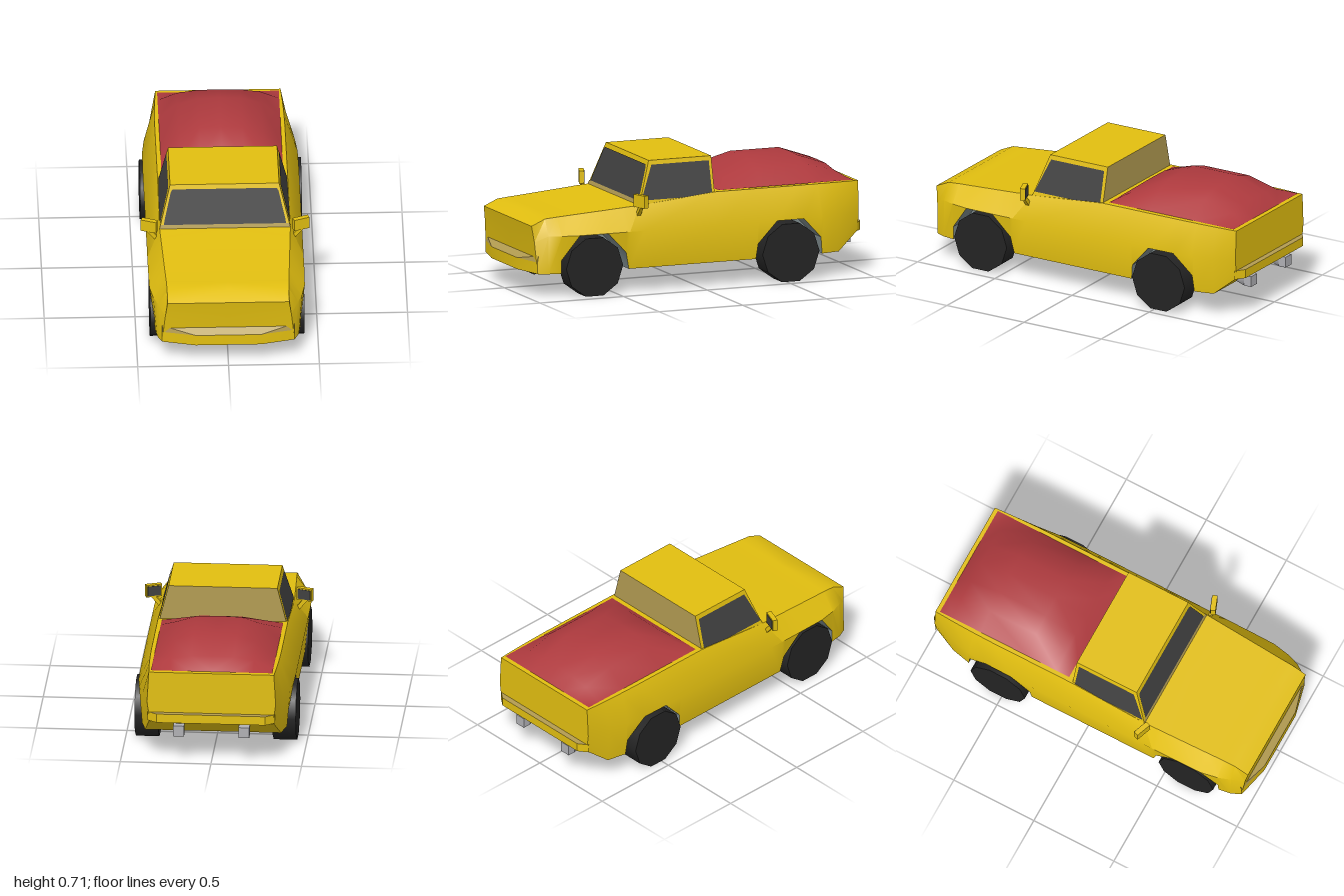
import * as THREE from 'three';
import { toCreasedNormals } from 'three/addons/utils/BufferGeometryUtils.js';

const material = (name, color) => {
  const m = new THREE.MeshStandardMaterial({ color });
  m.name = name;
  return m;
};

export function createModel() {
  const truck = new THREE.Group();
  truck.name = 'pickupTruck';
  const yellow = material('yellowPaint', 0xe2bf10);
  const tan = material('tanTrim', 0xb39c52);
  const glass = material('darkGlass', 0x414141);
  const rubber = material('tyreRubber', 0x242424);
  const red = material('redCargo', 0xae3a3e);
  const wellGrey = material('wheelWellGrey', 0x7d8a8c);
  const metal = material('exhaustMetal', 0xb0b0b4);

  const add = (name, geometry, mat, x = 0, y = 0, z = 0) => {
    const mesh = new THREE.Mesh(geometry, mat);
    mesh.name = name;
    mesh.position.set(x, y, z);
    truck.add(mesh);
    return mesh;
  };

  // Quad and its mirror image across x = 0
  const flip = (p) => [-p[0], p[1], p[2]];
  const mid = (p) => [0, p[1], p[2]];
  const quad = (list, a, b, c, d) => {
    list.push(a, b, c, a, c, d);
    const [e, f, g, h] = [a, b, c, d].map(flip);
    list.push(e, g, f, e, h, g);
  };
  const addQuads = (name, list, mat, crease = 0.6) => {
    const g = new THREE.BufferGeometry();
    g.setAttribute('position', new THREE.Float32BufferAttribute(list.flat(), 3));
    g.computeVertexNormals();
    return add(name, toCreasedNormals(g, crease), mat);
  };

  // Body stations: z, bottom y, arch y, half widths (bottom, middle, top), top y
  const FLOOR = 0.135, WAIST = 0.345, WELL = 0.28;
  const stations = [
    [0.9, FLOOR, FLOOR, 0.39, 0.385, 0.335, 0.435],
    [0.83, FLOOR, FLOOR, 0.4, 0.41, 0.337, 0.441],
    [0.829, FLOOR, 0.21, 0.4, 0.41, 0.337, 0.441],
    [0.73, FLOOR, 0.343, 0.41, 0.428, 0.342, 0.448],
    [0.56, FLOOR, 0.343, 0.41, 0.43, 0.35, 0.46],
    [0.45, FLOOR, 0.23, 0.41, 0.43, 0.355, 0.468],
    [0.43, FLOOR, FLOOR, 0.41, 0.43, 0.356, 0.47],
    [0.345, FLOOR, FLOOR, 0.41, 0.43, 0.36, 0.475],
    [-0.11, FLOOR, FLOOR, 0.41, 0.43, 0.358, 0.518],
    [-0.33, FLOOR, FLOOR, 0.41, 0.43, 0.358, 0.518],
    [-0.34, FLOOR, 0.22, 0.41, 0.43, 0.358, 0.518],
    [-0.45, FLOOR, 0.343, 0.41, 0.43, 0.358, 0.518],
    [-0.61, FLOOR, 0.343, 0.41, 0.428, 0.358, 0.518],
    [-0.72, FLOOR, 0.23, 0.4, 0.417, 0.356, 0.518],
    [-0.73, FLOOR, FLOOR, 0.4, 0.416, 0.356, 0.518],
    [-0.84, FLOOR, FLOOR, 0.375, 0.39, 0.352, 0.518],
    [-0.968, 0.24, 0.24, 0.34, 0.355, 0.345, 0.518],
  ].map(([z, yb, arch, wb, wm, wt, yt]) => {
    const edge = wb + (wm - wb) * (arch - yb) / (WAIST - yb);
    return { z, yb, arch, ring: [[edge, arch, z], [wm, WAIST, z], [wt, yt, z]] };
  });
  stations.unshift({
    z: 0.955, yb: FLOOR, arch: FLOOR,
    ring: [[0.365, FLOOR, 0.955], [0.347, 0.31, 0.968], [0.335, 0.4, 0.98]],
  });

  const body = [], wells = [];
  for (let i = 0; i < stations.length - 1; i++) {
    const s = stations[i], t = stations[i + 1];
    for (let k = 0; k < 2; k++) quad(body, s.ring[k], t.ring[k], t.ring[k + 1], s.ring[k + 1]);
    quad(body, s.ring[2], t.ring[2], mid(t.ring[2]), mid(s.ring[2]));
    const inArch = s.arch > s.yb || t.arch > t.yb;
    const s0 = inArch ? [WELL, s.yb, s.z] : s.ring[0];
    const t0 = inArch ? [WELL, t.yb, t.z] : t.ring[0];
    quad(body, mid(s0), mid(t0), t0, s0);
    if (inArch) {
      const s1 = [WELL, s.arch, s.z], t1 = [WELL, t.arch, t.z];
      quad(wells, s0, t0, t1, s1);
      quad(wells, s1, t1, t.ring[0], s.ring[0]);
    }
  }
  const front = stations[0].ring, rear = stations[stations.length - 1].ring;
  for (let k = 0; k < 2; k++) {
    quad(body, mid(front[k]), front[k], front[k + 1], mid(front[k + 1]));
    quad(body, rear[k], mid(rear[k]), mid(rear[k + 1]), rear[k + 1]);
  }
  addQuads('body', body, yellow);
  addQuads('wheelWells', wells, wellGrey);

  // Bumpers: yellow face and underside, tan top
  const bumper = (name, plan, y0, y1, backY, backZ) => {
    const face = [], top = [];
    const put = (list, ...q) => quad(list, ...(backZ > 0 ? q : q.reverse()));
    for (let i = 0; i < plan.length - 1; i++) {
      const [[x0, z0], [x1, z1]] = [plan[i], plan[i + 1]];
      put(face, [x0, y0, z0], [x1, y0, z1], [x1, y1, z1], [x0, y1, z0]);
      put(face, [x0, y0, backZ], [x1, y0, backZ], [x1, y0, z1], [x0, y0, z0]);
      put(top, [x0, y1, z0], [x1, y1, z1], [x1, backY, backZ], [x0, backY, backZ]);
    }
    addQuads(name, face, yellow, 0.3);
    addQuads(name + 'Top', top, tan, 0.3);
  };
  bumper('frontBumper', [[0, 1], [0.18, 1], [0.365, 0.957]], 0.136, 0.2, 0.236, 0.95);
  bumper('rearBumper', [[0, -1], [0.3, -1], [0.352, -0.962]], 0.235, 0.285, 0.285, -0.96);

  // Cab: base and roof outlines
  const BASE = 0.475, ROOF = 0.711;
  const sideX = (y) => 0.36 - 0.06 * (y - BASE) / (ROOF - BASE);
  const screenZ = (y) => 0.345 - 0.08 * (y - BASE) / (ROOF - BASE);
  const BACK = -0.108;
  const bf = [0.36, BASE, 0.345], bb = [0.36, BASE, BACK];
  const rf = [0.3, ROOF, 0.265], rb = [0.3, ROOF, BACK];
  const cab = [], cabBack = [];
  quad(cab, bf, bb, rb, rf);
  quad(cab, rf, rb, mid(rb), mid(rf));
  quad(cab, mid(bf), bf, rf, mid(rf));
  quad(cabBack, bb, mid(bb), mid(rb), rb);
  addQuads('cab', cab, yellow, 0.2);
  addQuads('cabBackPanel', cabBack, tan, 0.2);

  // Windows and the cowl strip, just proud of the cab
  const onScreen = (x, y) => [x, y, screenZ(y) + 0.004];
  const onSide = (y, z) => [sideX(y) + 0.004, y, z];
  const screen = [], cowl = [], sides = [];
  quad(screen, onScreen(0, 0.497), onScreen(0.336, 0.497), onScreen(0.333, 0.52), onScreen(0, 0.52));
  quad(screen, onScreen(0, 0.52), onScreen(0.333, 0.52), onScreen(0.296, 0.675), onScreen(0, 0.675));
  quad(screen, onScreen(0, 0.675), onScreen(0.296, 0.675), onScreen(0.286, 0.688), onScreen(0, 0.688));
  quad(cowl, onScreen(0, 0.476), onScreen(0.359, 0.476), onScreen(0.353, 0.497), onScreen(0, 0.497));
  quad(sides, onSide(0.5, 0.332), onSide(0.5, -0.085), onSide(0.515, -0.092), onSide(0.515, 0.326));
  quad(sides, onSide(0.515, 0.326), onSide(0.515, -0.092), onSide(0.688, -0.09), onSide(0.688, 0.253));
  addQuads('windshield', screen, glass);
  addQuads('windshieldCowl', cowl, tan);
  addQuads('sideWindows', sides, glass);

  // Domed cargo in the bed
  const cargo = [];
  const rows = [[-0.138, 0], [-0.215, 0.06], [-0.4, 0.128], [-0.69, 0.128], [-0.87, 0.064], [-0.945, 0]];
  const cols = [[0, 1], [0.12, 0.97], [0.23, 0.7], [0.335, 0]];
  const dome = ([z, h], [x, f]) => [x, 0.521 + h * f, z];
  for (let i = 0; i < rows.length - 1; i++) {
    for (let j = 0; j < cols.length - 1; j++) {
      quad(cargo, dome(rows[i], cols[j + 1]), dome(rows[i + 1], cols[j + 1]),
        dome(rows[i + 1], cols[j]), dome(rows[i], cols[j]));
    }
  }
  addQuads('cargo', cargo, red, 0.9);

  for (const s of [1, -1]) {
    const side = s > 0 ? 'left' : 'right';
    // Ten-sided wheels
    for (const [end, z, x, w] of [['Front', 0.64, 0.367, 0.115], ['Rear', -0.525, 0.38, 0.13]]) {
      const tyre = new THREE.CylinderGeometry(0.17, 0.17, w, 10).rotateZ(Math.PI / 2);
      add(side + end + 'Wheel', tyre, rubber, s * x, 0.162, z);
    }
    // Door mirror: housing, glass and arm
    const housing = add(side + 'Mirror', new THREE.BoxGeometry(0.09, 0.07, 0.028), yellow, s * 0.418, 0.51, 0.362);
    housing.rotation.y = s * 0.36;
    const pane = new THREE.Mesh(new THREE.BoxGeometry(0.076, 0.056, 0.004), glass);
    pane.name = side + 'MirrorGlass';
    pane.position.z = -0.015;
    housing.add(pane);
    const arm = add(side + 'MirrorArm', new THREE.BoxGeometry(0.022, 0.085, 0.02), yellow, s * 0.4, 0.455, 0.36);
    arm.rotation.z = -s * 0.7;
    // Exhaust: square tip with a tapered neck
    add(side + 'ExhaustTip', new THREE.BoxGeometry(0.06, 0.06, 0.045), metal, s * 0.18, 0.18, -0.957);
    const neck = new THREE.CylinderGeometry(0.015, 0.042, 0.09, 4).rotateY(Math.PI / 4).rotateX(Math.PI / 2);
    add(side + 'ExhaustNeck', neck, metal, s * 0.18, 0.18, -0.89);
  }
  return truck;
}
